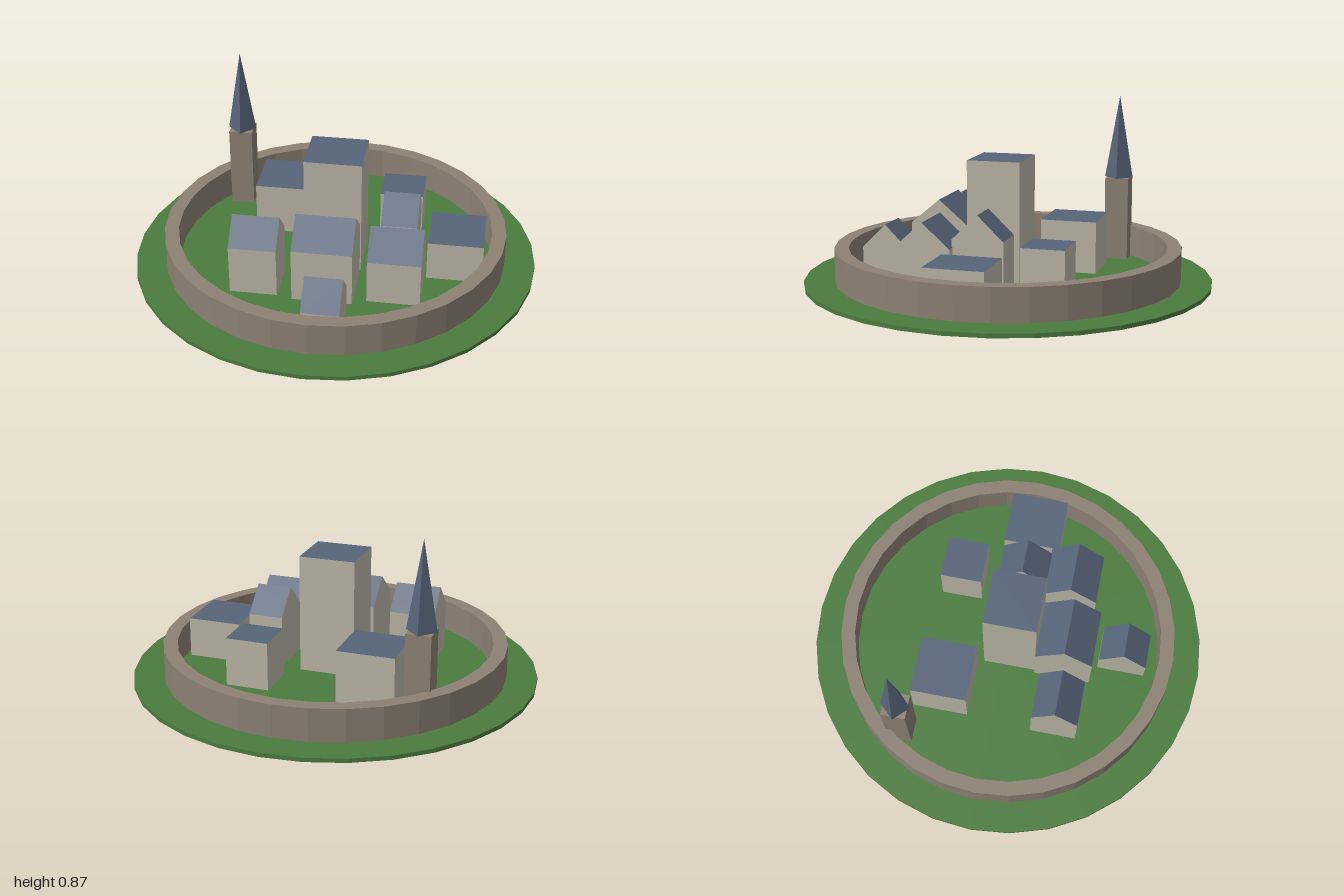
import * as THREE from 'three';

const material = (name, color) => {
  const m = new THREE.MeshStandardMaterial({ color });
  m.name = name;
  return m;
};

// Separate every face so that its edges stay sharp
const faceted = (geometry) => {
  const g = geometry.index ? geometry.toNonIndexed() : geometry;
  g.computeVertexNormals();
  return g;
};

// Prism with its ridge along x; group 0 is the walls, group 1 the upward roof faces
function houseGeometry(width, depth, height, rise) {
  const d = depth / 2, eave = height - rise;
  const outline = [[-d, 0], [d, 0], [d, eave]];
  if (rise > 0) outline.push([0, height]);
  outline.push([-d, eave]);
  const shape = new THREE.Shape(outline.map(([x, y]) => new THREE.Vector2(x, y)));
  const g = faceted(new THREE.ExtrudeGeometry(shape, { depth: width, bevelEnabled: false }));
  g.translate(0, 0, -width / 2).rotateY(Math.PI / 2);
  g.clearGroups();
  const normal = g.attributes.normal;
  for (let i = 0; i < normal.count; i += 3) g.addGroup(i, 3, normal.getY(i) > 0.5 ? 1 : 0);
  return g;
}

export function createModel() {
  const grass = material('grass', 0x4b7b3e);
  const stone = material('stone', 0x8c8073);
  const plaster = material('plaster', 0xb8b4a5);
  const slate = material('slate', 0x576479);

  const town = new THREE.Group();
  town.name = 'walledTown';
  const base = 0.02;
  const add = (name, geometry, mat, x = 0, y = 0, z = 0) => {
    const mesh = new THREE.Mesh(geometry, mat);
    mesh.name = name;
    mesh.position.set(x, y, z);
    town.add(mesh);
  };

  // Ground disc
  add('ground', faceted(new THREE.CylinderGeometry(1, 1, base, 32)), grass, 0, base / 2, 0);

  // Ring wall
  const profile = [[0.78, base], [0.85, base], [0.85, 0.18], [0.78, 0.18], [0.78, base]]
    .map(([r, y]) => new THREE.Vector2(r, y));
  add('townWall', faceted(new THREE.LatheGeometry(profile, 32)), stone);

  // Tower and spire
  add('tower', new THREE.BoxGeometry(0.12, 0.425, 0.12), stone, -0.56, base + 0.2125, -0.44);
  add('spire', faceted(new THREE.ConeGeometry(0.073, 0.425, 4)), slate, -0.56, 0.6575, -0.44);

  // Buildings: name, x range, z range, top height, roof rise
  const buildings = [
    ['gabledHouse', -0.45, -0.22, 0.20, 0.43, 0.385, 0.12],
    ['gabledHouse', -0.145, 0.145, 0.165, 0.45, 0.41, 0.12],
    ['gabledHouse', 0.21, 0.465, 0.145, 0.415, 0.36, 0.12],
    ['gabledHouse', 0.245, 0.42, -0.10, 0.15, 0.40, 0.12],
    ['gabledHouse', -0.055, 0.125, 0.48, 0.72, 0.265, 0.12],
    ['keep', -0.13, 0.15, -0.10, 0.163, 0.61, 0],
    ['flatHouse', -0.43, -0.145, -0.41, -0.13, 0.28, 0],
    ['flatHouse', 0.205, 0.42, -0.39, -0.18, 0.26, 0],
    ['flatHouse', 0.475, 0.745, -0.11, 0.18, 0.22, 0],
  ];
  for (const [name, x0, x1, z0, z1, top, rise] of buildings) {
    add(name, houseGeometry(x1 - x0, z1 - z0, top - base, rise), [plaster, slate],
      (x0 + x1) / 2, base, (z0 + z1) / 2);
  }
  return town;
}
